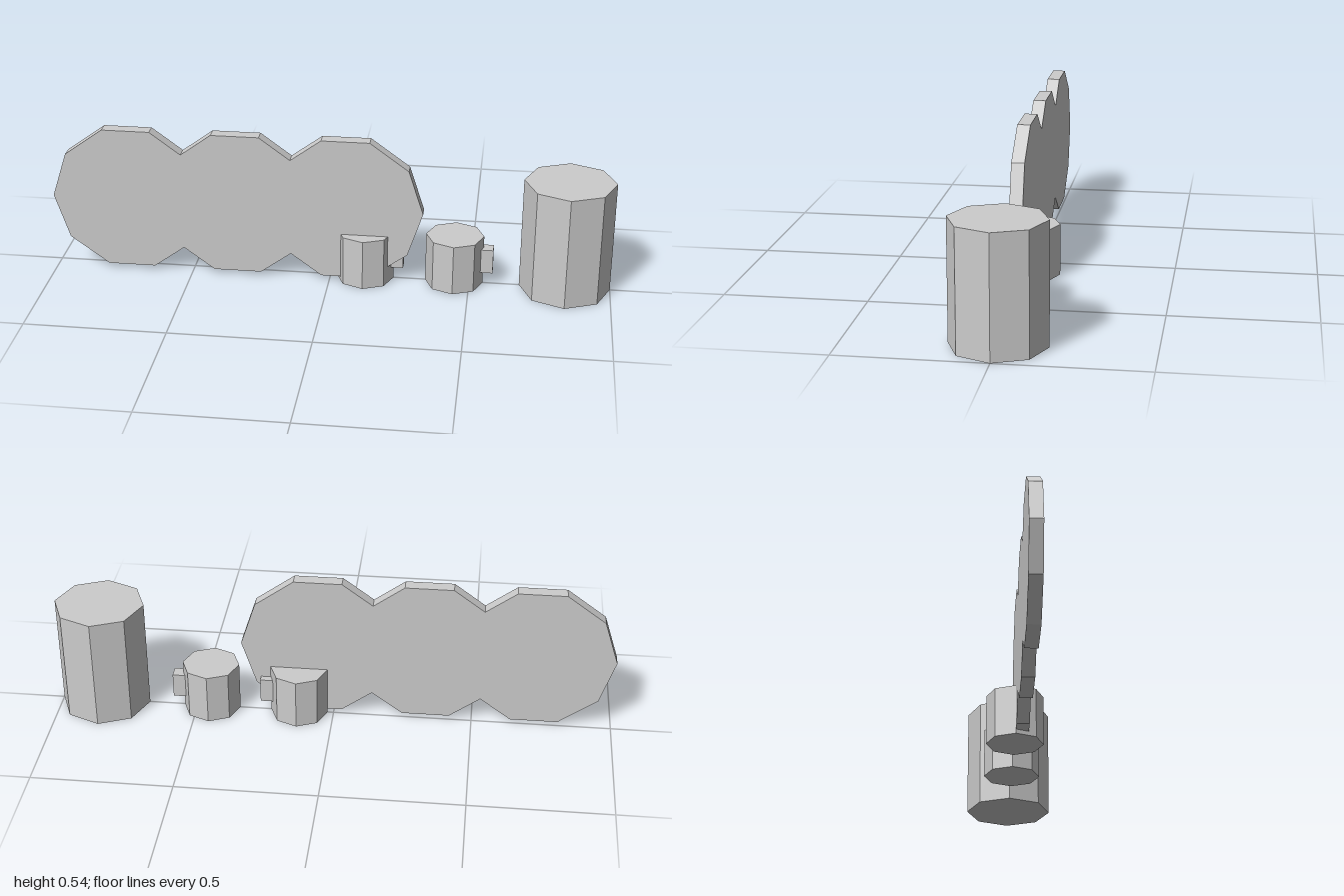
import * as THREE from 'three';

export function createModel() {
  const model = new THREE.Group();
  model.name = 'teaSet';
  const grey = new THREE.MeshStandardMaterial({ color: 0xcccccc });
  grey.name = 'plainGrey';
  grey.flatShading = true;

  const add = (parent, name, geometry, x, y, z) => {
    const mesh = new THREE.Mesh(geometry, grey);
    mesh.name = name;
    mesh.position.set(x, y, z);
    parent.add(mesh);
  };

  // Upright tray: outline of three joined ten-sided discs
  const r = 0.276, cy = 0.278, spacing = 0.39, first = -0.724;
  const last = first + 2 * spacing;
  const at = (cx, i) => {
    const a = (i * Math.PI) / 5;
    return new THREE.Vector2(cx + r * Math.cos(a), cy + r * Math.sin(a));
  };
  const notch = 0.182; // half height where neighbouring discs meet
  const outline = [];
  for (let i = -2; i <= 2; i++) outline.push(at(last, i));
  outline.push(at(last, 3), new THREE.Vector2(last - spacing / 2, cy + notch));
  outline.push(at(first + spacing, 2), at(first + spacing, 3));
  outline.push(new THREE.Vector2(first + spacing / 2, cy + notch));
  for (let i = 2; i <= 8; i++) outline.push(at(first, i));
  outline.push(new THREE.Vector2(first + spacing / 2, cy - notch));
  outline.push(at(first + spacing, 7), at(first + spacing, 8));
  outline.push(new THREE.Vector2(last - spacing / 2, cy - notch), at(last, 7));
  const tray = new THREE.ExtrudeGeometry(new THREE.Shape(outline), { depth: 0.046, bevelEnabled: false });
  add(model, 'tray', tray, 0, 0, 0);

  // Two small cups, each with a block handle
  for (const [name, x] of [['firstCup', 0.125], ['secondCup', 0.445]]) {
    const cup = new THREE.Group();
    cup.name = name;
    cup.position.x = x;
    add(cup, 'cupBody', new THREE.CylinderGeometry(0.103, 0.103, 0.184, 8), 0, 0.092, 0);
    add(cup, 'cupHandle', new THREE.BoxGeometry(0.046, 0.09, 0.046), 0.115, 0.095, -0.002);
    model.add(cup);
  }

  // Tall eight-sided canister
  add(model, 'canister', new THREE.CylinderGeometry(0.161, 0.161, 0.413, 8), 0.839, 0.2065, 0);
  return model;
}
